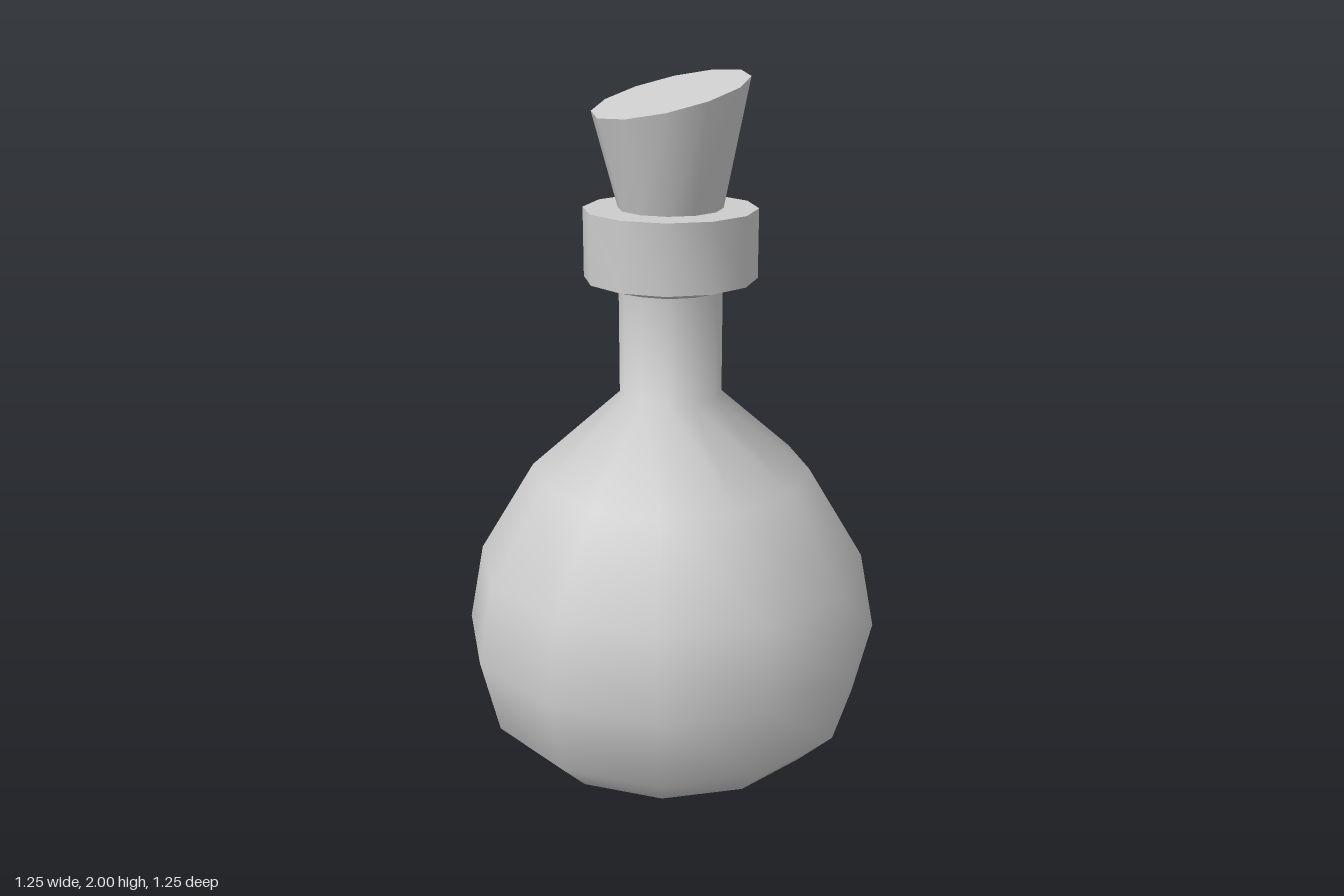
import * as THREE from 'three';
import { toCreasedNormals } from 'three/addons/utils/BufferGeometryUtils.js';

const SIDES = 12;

export function createModel() {
  const group = new THREE.Group();
  const material = new THREE.MeshStandardMaterial({ color: 0xcccccc });

  const add = (name, geometry) => {
    const mesh = new THREE.Mesh(geometry, material);
    mesh.name = name;
    group.add(mesh);
  };
  const lathe = (points) =>
    new THREE.LatheGeometry(points.map(([r, y]) => new THREE.Vector2(r, y)), SIDES);

  // Round body and neck, smooth all the way from the base up
  add('bottle', lathe([
    [0, 0], [0.46, 0], [0.57, 0.11], [0.625, 0.34], [0.58, 0.575],
    [0.415, 0.85], [0.15, 1.085], [0.15, 1.42],
  ]));

  // Collar with a slightly sloped underside and a flat top
  add('collar', toCreasedNormals(
    lathe([[0.15, 1.4], [0.25, 1.43], [0.25, 1.63], [0, 1.63]]), 0.7));

  // Flared stopper whose top is cut at a slant
  const stopper = new THREE.CylinderGeometry(0.222, 0.15, 0.315, SIDES);
  stopper.translate(0, 1.7875, 0);
  const p = stopper.attributes.position;
  for (let i = 0; i < p.count; i++) {
    if (p.getY(i) > 1.8) p.setY(i, 1.945 + 0.12 * p.getX(i) - 0.225 * p.getZ(i));
  }
  add('stopper', toCreasedNormals(stopper, 0.7));

  return group;
}
